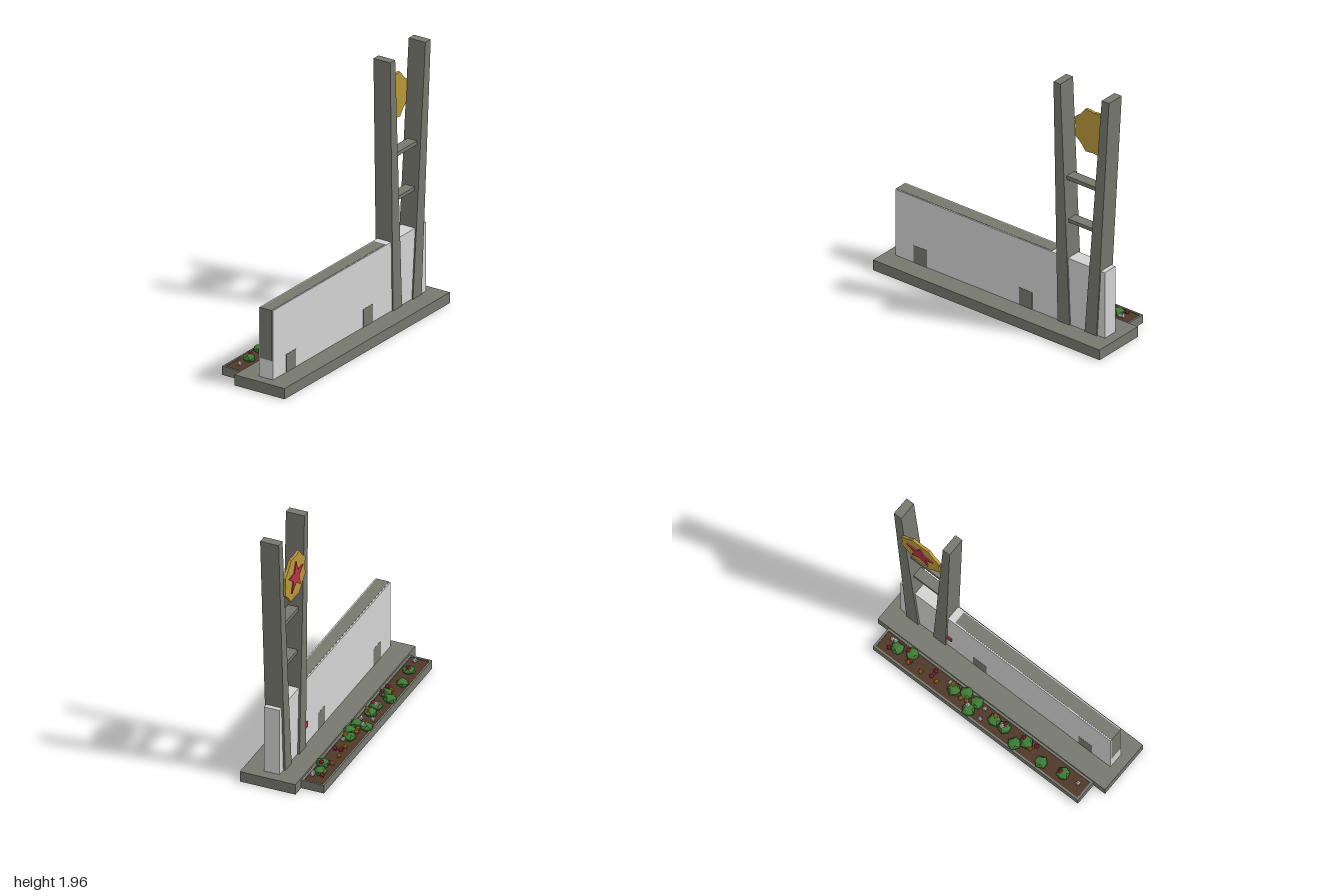
import * as THREE from 'three';

const mat = (name, color, flatShading = false) => {
  const m = new THREE.MeshStandardMaterial({ color });
  m.name = name;
  m.flatShading = flatShading;
  return m;
};

export function createModel() {
  const root = new THREE.Group();
  root.name = 'monument';
  const stone = mat('grey stone', 0x76776d);
  const plaster = mat('pale plaster', 0xd2d2d2);
  const gold = mat('gold', 0xb8963a);
  const red = mat('red', 0xb5354a, true);
  const soil = mat('brown soil', 0x4f3828);
  const leaf = mat('green leaf', 0x3f7a35, true);
  const white = mat('white petal', 0xe2e2e2, true);
  const amber = mat('amber petal', 0xc98a2c, true);

  const add = (name, geo, material, parent = root) => {
    const m = new THREE.Mesh(geo, material);
    m.name = name;
    parent.add(m);
    return m;
  };
  // box given by its limits on each axis
  const box = (name, material, x0, x1, y0, y1, z0, z1, parent) => {
    const m = add(name, new THREE.BoxGeometry(x1 - x0, y1 - y0, z1 - z0), material, parent);
    m.position.set((x0 + x1) / 2, (y0 + y1) / 2, (z0 + z1) / 2);
    return m;
  };
  // outline of [z, y] points, extruded from xStart towards -x
  const plate = (name, material, pts, xStart, depth) => {
    const shape = new THREE.Shape(pts.map(p => new THREE.Vector2(p[0], p[1])));
    const m = add(name, new THREE.ExtrudeGeometry(shape, { depth, bevelEnabled: false }), material);
    m.rotation.y = -Math.PI / 2;
    m.position.x = xStart;
    return m;
  };
  // star outline with n points round a centre
  const starPoints = (n, outer, inner, cz, cy, turn) =>
    Array.from({ length: 2 * n }, (_, i) => {
      const a = turn + (i * Math.PI) / n, r = i % 2 ? inner : outer;
      return [cz + r * Math.cos(a), cy + r * Math.sin(a)];
    });

  // plinth and wall
  box('plinth', stone, -0.125, 0.295, 0, 0.08, -1, 1);
  box('wall', plaster, 0.03, 0.145, 0.08, 0.598, -0.925, 0.925);
  box('wallCore', stone, 0.04, 0.136, 0.22, 0.6, -0.45, 0.927);
  for (const z of [0.645, -0.285]) box('wallFoot', stone, 0.029, 0.147, 0.08, 0.215, z, z + 0.118);
  box('wallMark', red, 0.02, 0.03, 0.215, 0.26, -0.51, -0.47);

  // tapering pylons leaning apart, with rungs between
  plate('frontPylon', stone, [[-0.623, 0.08], [-0.516, 0.08], [-0.48, 1.955], [-0.54, 1.955]], 0.155, 0.14);
  plate('backPylon', stone, [[-0.86, 0.08], [-0.755, 0.08], [-0.906, 1.955], [-0.97, 1.955]], 0.155, 0.14);
  box('upperRung', stone, 0.045, 0.125, 1.2, 1.23, -0.86, -0.56);
  box('lowerRung', stone, 0.045, 0.125, 0.868, 0.895, -0.83, -0.57);

  // scalloped medallion with a star on its outer face
  plate('medallion', gold, starPoints(8, 0.182, 0.16, -0.725, 1.575, Math.PI / 8), 0.02, 0.02);
  plate('star', red, starPoints(5, 0.12, 0.05, -0.725, 1.575, Math.PI / 2), 0, 0.009);

  // flower bed
  const bed = new THREE.Group();
  bed.name = 'flowerBed';
  root.add(bed);
  box('soil', soil, -0.285, -0.14, 0.002, 0.058, -0.89, 0.885, bed);
  box('outerKerb', stone, -0.297, -0.283, 0, 0.065, -0.905, 0.9, bed);
  box('innerKerb', stone, -0.142, -0.125, 0, 0.065, -0.905, 0.9, bed);
  box('backKerb', stone, -0.283, -0.142, 0, 0.065, -0.905, -0.89, bed);
  box('frontKerb', stone, -0.283, -0.142, 0, 0.065, 0.885, 0.9, bed);

  // faceted bushes
  const bushes = [[-0.205, -0.76], [-0.175, -0.655], [-0.2, -0.27], [-0.165, -0.185], [-0.255, -0.1],
    [-0.175, -0.085], [-0.2, 0.085], [-0.2, 0.175], [-0.25, 0.3], [-0.19, 0.36], [-0.24, 0.53], [-0.21, 0.7]];
  const bushGeo = new THREE.IcosahedronGeometry(0.052, 0);
  bushes.forEach(([x, z], i) => {
    const m = add('bush', bushGeo, leaf, bed);
    m.position.set(x, 0.077, z);
    m.scale.set(0.95, 0.6, 1);
    m.rotation.y = i * 1.3;
  });

  // spiky blossoms: every other vertex ring pushed outwards
  const bloomGeo = new THREE.IcosahedronGeometry(0.015, 1);
  const p = bloomGeo.attributes.position, v = new THREE.Vector3();
  const corners = new THREE.IcosahedronGeometry(0.015, 0).attributes.position;
  for (let i = 0; i < p.count; i++) {
    v.fromBufferAttribute(p, i);
    let spike = false;
    for (let j = 0; j < corners.count; j++)
      if (v.distanceTo(new THREE.Vector3().fromBufferAttribute(corners, j)) < 1e-4) spike = true;
    v.multiplyScalar(spike ? 1.5 : 0.9);
    p.setXYZ(i, v.x, v.y, v.z);
  }
  const blooms = [
    ['whiteFlower', white, [[-0.175, -0.83], [-0.17, -0.805], [-0.175, -0.32], [-0.235, -0.12], [-0.255, 0.005],
      [-0.175, -0.015], [-0.21, 0.16], [-0.2, 0.825]]],
    ['redFlower', red, [[-0.24, -0.81], [-0.18, -0.69], [-0.225, -0.635], [-0.22, -0.45], [-0.175, -0.45],
      [-0.185, 0.17], [-0.18, 0.33], [-0.17, 0.435], [-0.215, 0.68]]],
    ['amberFlower', amber, [[-0.24, -0.64], [-0.24, -0.53], [-0.23, -0.4], [-0.18, -0.29], [-0.22, -0.195],
      [-0.21, -0.15], [-0.18, 0.08], [-0.21, 0.41]]],
  ];
  for (const [name, material, spots] of blooms)
    spots.forEach(([x, z], i) => {
      const onBush = bushes.some(b => Math.hypot(b[0] - x, b[1] - z) < 0.05);
      const m = add(name, bloomGeo, material, bed);
      m.position.set(x, onBush ? 0.106 : 0.082, z);
      m.rotation.set(i, i * 0.7, 0);
    });
  return root;
}
